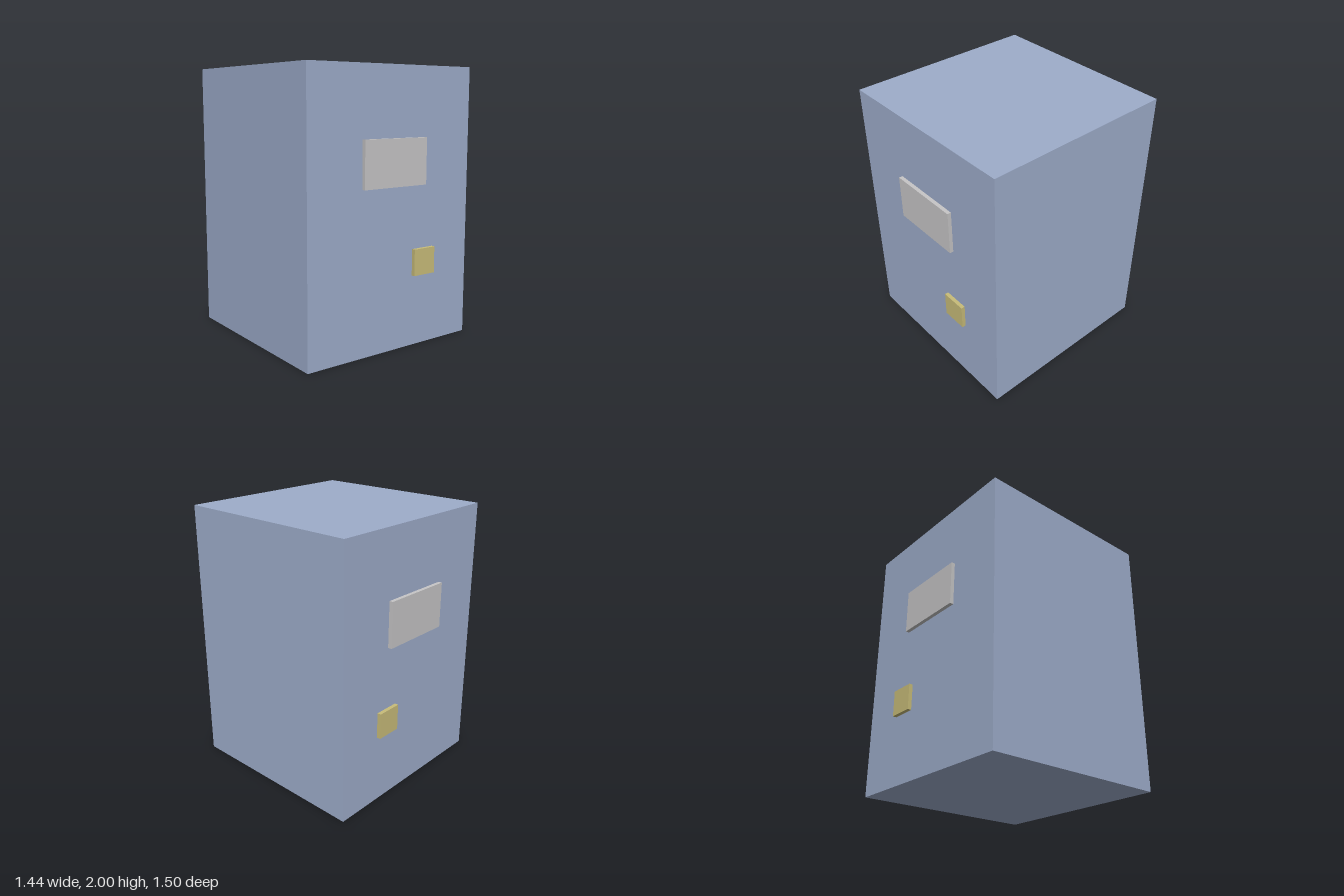
import * as THREE from 'three';

export function createModel() {
  const model = new THREE.Group();
  model.name = 'cabinet';

  const material = (name, color) => {
    const m = new THREE.MeshStandardMaterial({ color });
    m.name = name;
    return m;
  };
  const blue = material('dusty blue', 0x9dacca);
  const grey = material('light grey', 0xc6c5c6);
  const yellow = material('muted yellow', 0xc8bc79);

  // Box given by its lower and upper corners
  function addBox(name, mat, [x0, y0, z0], [x1, y1, z1]) {
    const mesh = new THREE.Mesh(new THREE.BoxGeometry(x1 - x0, y1 - y0, z1 - z0), mat);
    mesh.position.set((x0 + x1) / 2, (y0 + y1) / 2, (z0 + z1) / 2);
    mesh.name = name;
    model.add(mesh);
  }

  const half = 0.722;
  const proud = 0.75;
  addBox('body', blue, [-half, 0, -half], [half, 2, half]);

  // Raised sign plate and handle plate, on the front and on the back
  for (const [side, z0, z1] of [['front', half, proud], ['back', -proud, -half]]) {
    addBox(side + 'Plate', grey, [-0.278, 1.17, z0], [0.278, 1.504, z1]);
    addBox(side + 'Handle', yellow, [0.18, 0.518, z0], [0.373, 0.711, z1]);
  }

  return model;
}
